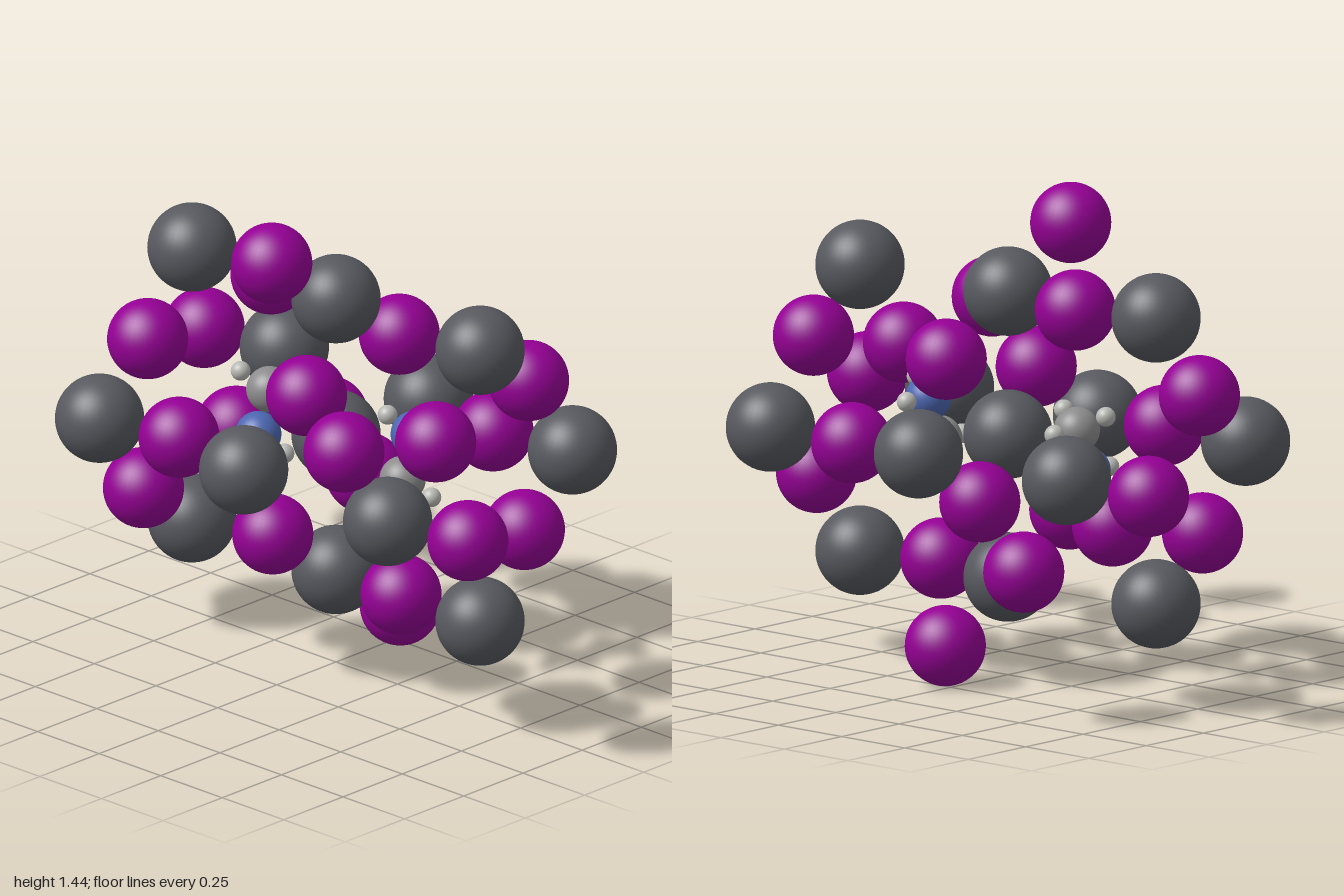
import * as THREE from 'three';

// Ball model of a crystal cell; everything is point-symmetric about the cell centre.
const CENTRE_Y = 0.72;

const ball = (radius, color) => ({
  geometry: new THREE.SphereGeometry(radius, 40, 28),
  material: new THREE.MeshStandardMaterial({ color }),
});

export function createModel() {
  const model = new THREE.Group();
  model.name = 'crystalCell';
  const cell = new THREE.Group();
  cell.name = 'atoms';
  cell.position.y = CENTRE_Y;
  model.add(cell);

  const metal = ball(0.131, 0x57595f);
  const halide = ball(0.119, 0x940094);
  const nitrogen = ball(0.068, 0x4c66b0);
  const carbon = ball(0.068, 0x8c8c8c);
  const hydrogen = ball(0.029, 0xb8b8b4);

  const add = (parent, name, kind, x, y, z) => {
    const mesh = new THREE.Mesh(kind.geometry, kind.material);
    mesh.name = name;
    mesh.position.set(x, y, z);
    parent.add(mesh);
  };

  // Metal atoms: a diamond of four in each of three layers, plus the central one
  for (const z of [-0.585, 0, 0.585]) {
    for (const [x, y] of [[0, 0.427], [0, -0.427], [0.39, 0], [-0.39, 0]]) {
      add(cell, 'metalAtom', metal, x, y, z);
    }
  }
  add(cell, 'centralMetalAtom', metal, 0, 0, 0);

  // Halide atoms: x, y and the depths at which each occurs, with inverted partners
  const halides = [
    [-0.24, 0.6, [-0.03]],
    [-0.543, 0.255, [0.555]],
    [0.236, 0.255, [0.555, 0.03]],
    [-0.156, 0.175, [-0.615, 0.03, 0.555]],
    [-0.358, 0.012, [0.88, -0.293]],
    [0.03, 0.415, [-0.293]],
  ];
  for (const [x, y, depths] of halides) {
    for (const z of depths) {
      for (const s of [1, -1]) add(cell, 'halideAtom', halide, s * x, s * y, s * z);
    }
  }

  // Two small molecules, one the inversion of the other
  for (const s of [1, -1]) {
    const molecule = new THREE.Group();
    molecule.name = s > 0 ? 'frontMolecule' : 'backMolecule';
    molecule.position.z = s * 0.29;
    cell.add(molecule);
    add(molecule, 'nitrogenAtom', nitrogen, s * 0.027, s * 0.073, 0);
    add(molecule, 'carbonAtom', carbon, s * -0.02, s * -0.055, 0);
    add(molecule, 'hydrogenAtom', hydrogen, s * 0.122, s * 0.075, 0);
    add(molecule, 'hydrogenAtom', hydrogen, s * -0.118, s * -0.055, 0);
    for (const side of [1, -1]) {
      add(molecule, 'hydrogenAtom', hydrogen, s * -0.005, s * 0.122, side * 0.076);
      add(molecule, 'hydrogenAtom', hydrogen, s * 0.015, s * -0.1, side * 0.083);
    }
  }

  return model;
}
